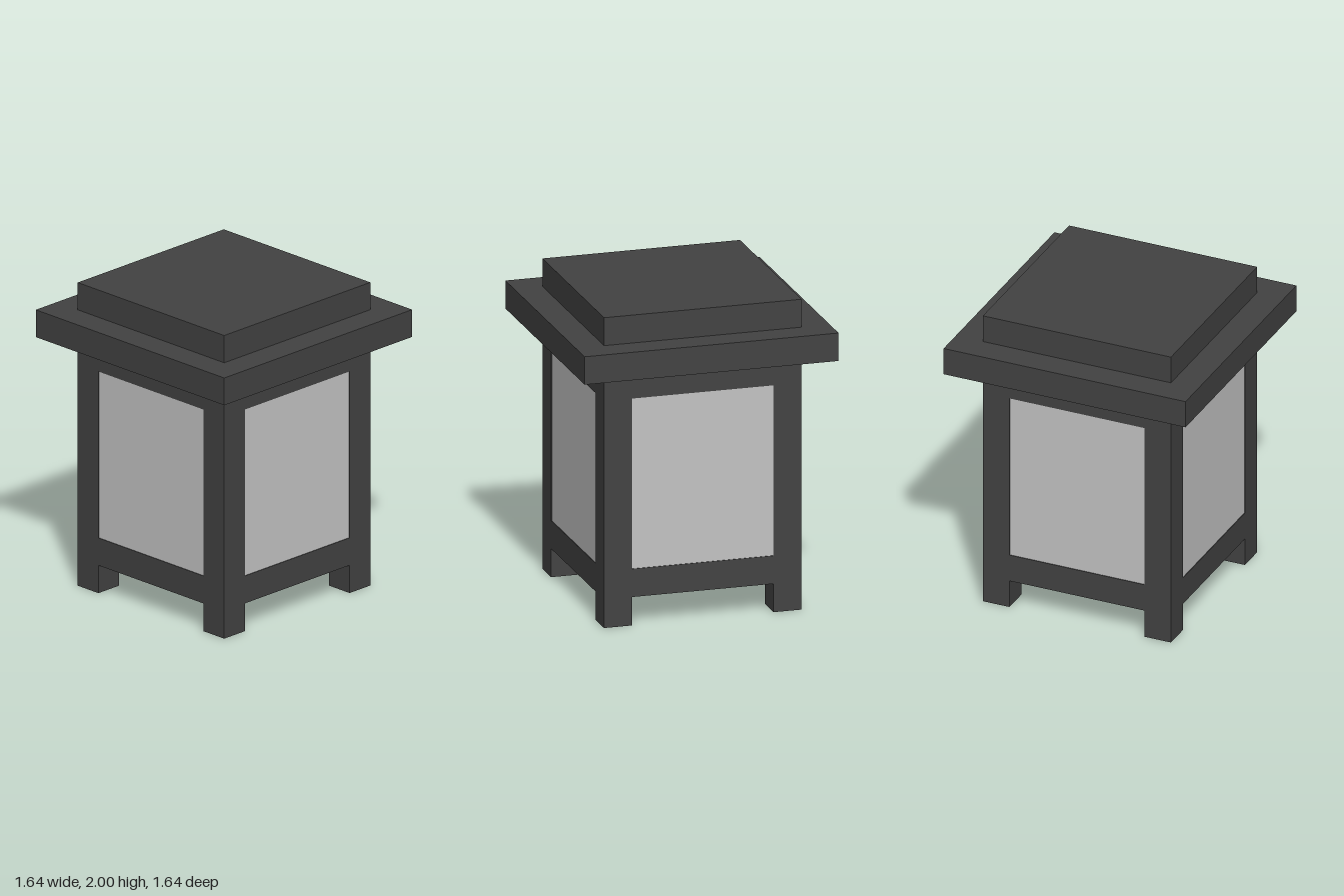
import * as THREE from 'three';

export function createModel() {
  const frameMat = new THREE.MeshStandardMaterial({ color: 0x424242 });
  frameMat.name = 'charcoal frame';
  const glassMat = new THREE.MeshStandardMaterial({ color: 0xc4c4c4 });
  glassMat.name = 'pale glass';

  const lantern = new THREE.Group();
  lantern.name = 'lantern';

  const half = 0.636;           // half width of the body
  const post = 0.18;            // thickness of posts and rails
  const span = 2 * (half - post);
  const legTop = 0.183, sill = 0.364, lintel = 1.462, eaves = 1.64, step = 1.82;

  // Box spanning y0..y1, centred on x and z
  function box(name, parent, mat, w, d, y0, y1, x = 0, z = 0) {
    const mesh = new THREE.Mesh(new THREE.BoxGeometry(w, y1 - y0, d), mat);
    mesh.name = name;
    mesh.position.set(x, (y0 + y1) / 2, z);
    parent.add(mesh);
  }

  // Four identical sides: corner post with its leg, two rails and a pane
  const mid = half - post / 2;
  for (let i = 0; i < 4; i++) {
    const side = new THREE.Group();
    side.name = 'side' + (i + 1);
    side.rotation.y = i * Math.PI / 2;
    box('cornerPost', side, frameMat, post, post, 0, eaves, mid, mid);
    box('lowerRail', side, frameMat, span, post, legTop, sill, 0, mid);
    box('upperRail', side, frameMat, span, post, lintel, eaves, 0, mid);
    box('windowPane', side, glassMat, span, 0.009, sill, lintel, 0, half - 0.009);
    lantern.add(side);
  }

  // Floor between the rails, and the stepped roof
  box('floor', lantern, frameMat, span, span, legTop, sill);
  box('roofEaves', lantern, frameMat, 1.636, 1.636, eaves, step);
  box('roofCap', lantern, frameMat, 2 * half, 2 * half, step, 2);

  return lantern;
}
